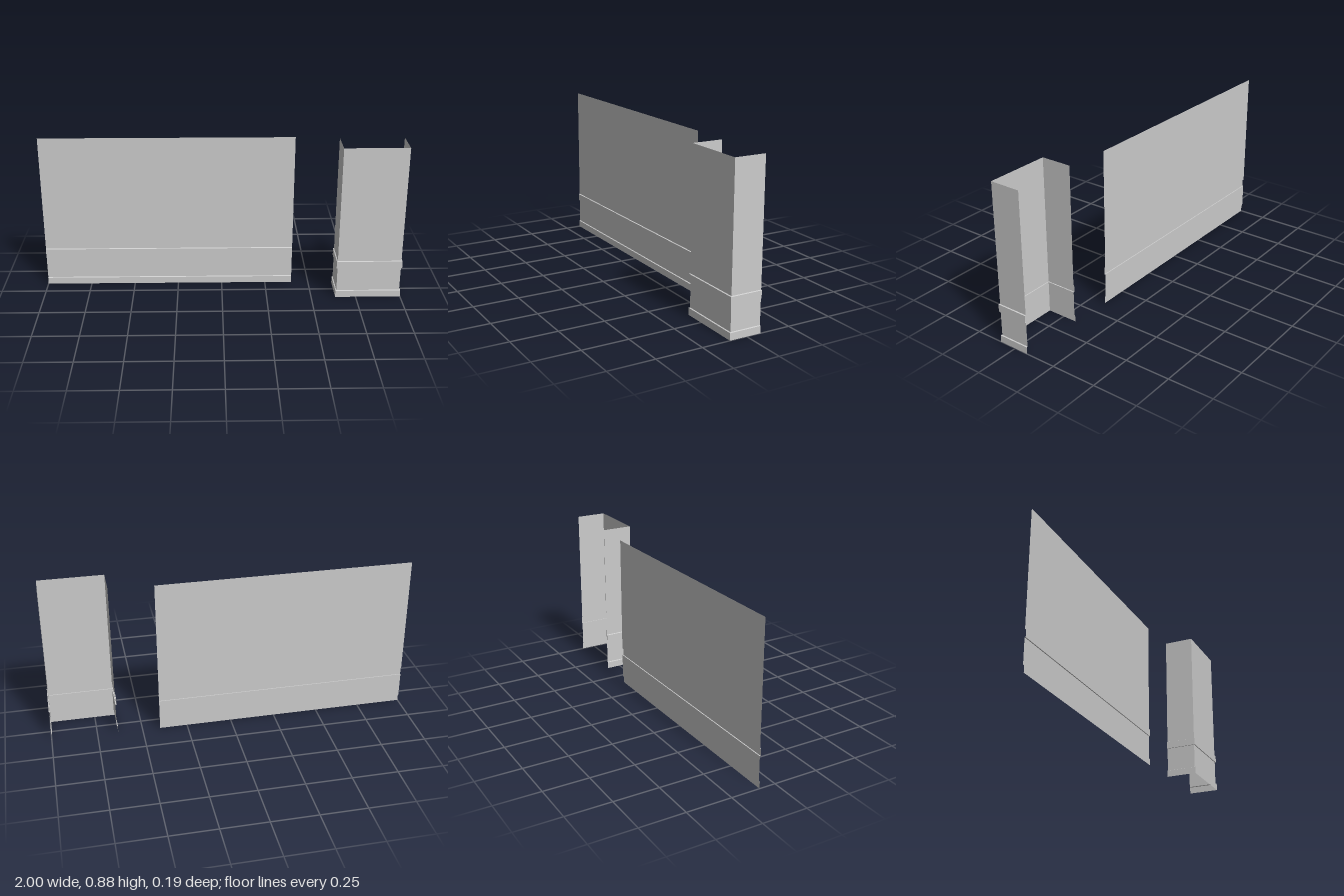
import * as THREE from 'three';

// Shared moulding profile: [outward offset, height], from floor to top
const T = 0.0058;
const PROFILE = [
  [T, 0], [T, 0.038], [0, 0.0405],          // base strip
  [0, 0.178], [T, 0.178], [T, 0.2185], [0, 0.221], // raised band
  [0, 0.881],
];

// Thin sheet: sweeps the profile along a plan outline, plan(offset) -> [[x, z], ...]
function sheet(name, plan) {
  const positions = [];
  for (let i = 0; i < PROFILE.length - 1; i++) {
    const [o0, y0] = PROFILE[i], [o1, y1] = PROFILE[i + 1];
    const low = plan(o0), high = plan(o1);
    for (let j = 0; j < low.length - 1; j++) {
      const a = [low[j][0], y0, low[j][1]];
      const b = [low[j + 1][0], y0, low[j + 1][1]];
      const c = [high[j + 1][0], y1, high[j + 1][1]];
      const d = [high[j][0], y1, high[j][1]];
      positions.push(...a, ...b, ...c, ...a, ...c, ...d);
    }
  }
  const geometry = new THREE.BufferGeometry();
  geometry.setAttribute('position', new THREE.Float32BufferAttribute(positions, 3));
  geometry.computeVertexNormals();
  const material = new THREE.MeshStandardMaterial({
    color: 0xcccccc, flatShading: true, side: THREE.DoubleSide,
  });
  const mesh = new THREE.Mesh(geometry, material);
  mesh.name = name;
  return mesh;
}

export function createModel() {
  const group = new THREE.Group();
  group.name = 'wallAndPilaster';

  // Straight wall panel
  group.add(sheet('wallPanel', (o) => [[-1, -0.0963 + o], [0.403, -0.0963 + o]]));

  // Three-sided pilaster, open at the back, with mitred mouldings
  const left = 0.641, right = 0.9942, front = 0.0905, back = -0.08;
  group.add(sheet('pilaster', (o) => [
    [left - o, back], [left - o, front + o], [right + o, front + o], [right + o, back],
  ]));

  return group;
}
